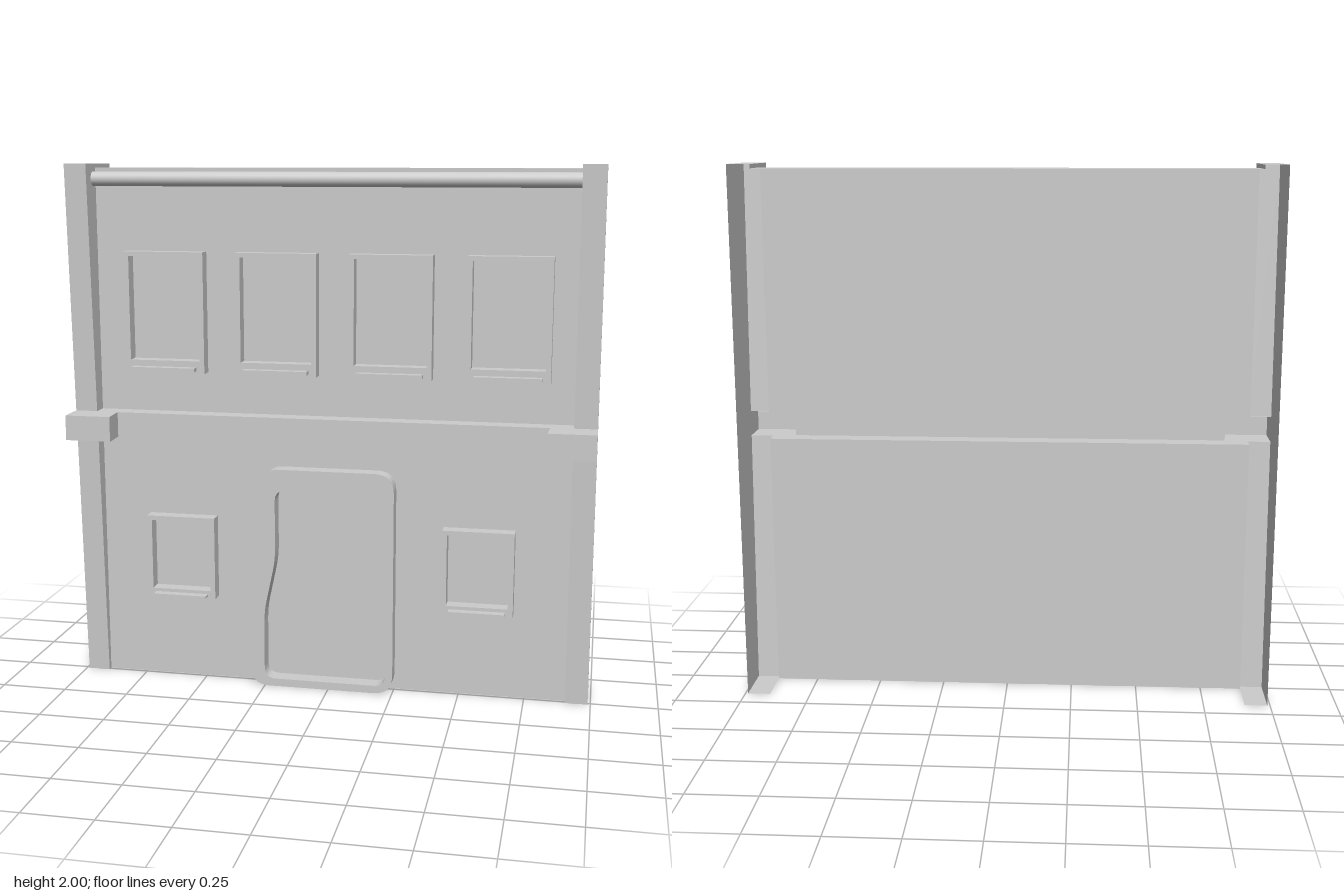
import * as THREE from 'three';

const mat = new THREE.MeshStandardMaterial({ color: 0xcccccc, side: THREE.DoubleSide });
const WALL = -0.01, BACK = -0.167, IN = 0.905, OUT = 0.99;
const BAND0 = 0.97, BAND1 = 1.065, TOP = 2, WALLTOP = 1.985;
// the pillar fronts lean outward towards the top
const lean = (y) => 0.01 + 0.04 * y;

function add(parent, name, geometry, x = 0, y = 0, z = 0) {
  const mesh = new THREE.Mesh(geometry, mat);
  mesh.name = name;
  mesh.position.set(x, y, z);
  parent.add(mesh);
  return mesh;
}

// thin sheets: each face is a convex loop of [x, y, z] corners
function sheets(faces) {
  const pos = [];
  for (const f of faces)
    for (let i = 1; i < f.length - 1; i++) pos.push(...f[0], ...f[i], ...f[i + 1]);
  const g = new THREE.BufferGeometry();
  g.setAttribute('position', new THREE.Float32BufferAttribute(pos, 3));
  g.computeVertexNormals();
  return g;
}

const rectangle = (x0, x1, y0, y1) => [[x0, y0], [x1, y0], [x1, y1], [x0, y1]];
const wallPanel = (y0, y1) =>
  sheets([rectangle(-IN, IN, y0, y1).map(([x, y]) => [x, y, WALL])]);

// hollow pillar, open at the back and interrupted by the band
function pillar(s) {
  const a = s * IN, b = s * OUT, f0 = lean(0), f1 = lean(TOP);
  const faces = [
    [[b, 0, BACK], [b, 0, f0], [b, TOP, f1], [b, TOP, BACK]],
    [[a, 0, BACK], [b, 0, BACK], [b, 0, f0], [a, 0, f0]],
    [[a, TOP, BACK], [b, TOP, BACK], [b, TOP, f1], [a, TOP, f1]],
    [[a, WALLTOP, BACK], [a, TOP, BACK], [a, TOP, f1], [a, WALLTOP, f1]],
  ];
  for (const [y0, y1] of [[0, BAND0], [BAND1, TOP]]) {
    faces.push([[a, y0, lean(y0)], [b, y0, lean(y0)], [b, y1, lean(y1)], [a, y1, lean(y1)]]);
    const yTop = Math.min(y1, WALLTOP);
    faces.push([[a, y0, WALL], [a, y0, lean(y0)], [a, yTop, lean(yTop)], [a, yTop, WALL]]);
  }
  return sheets(faces);
}

// closed outline with every corner rounded by its own radius [x, y, r]
function rounded(points, Type) {
  const path = new Type(), n = points.length;
  points.forEach(([x, y, r], i) => {
    const c = new THREE.Vector2(x, y);
    const towards = (p) => new THREE.Vector2(p[0], p[1]).sub(c).setLength(r).add(c);
    const p = towards(points[(i + n - 1) % n]), q = towards(points[(i + 1) % n]);
    if (i) path.lineTo(p.x, p.y); else path.moveTo(p.x, p.y);
    path.quadraticCurveTo(x, y, q.x, q.y);
  });
  path.closePath();
  return path;
}

// window frame around an opening, with a slim sill bar
function windowUnit(name, cx, w, y0, y1, lip, sillY, sillH) {
  const g = new THREE.Group();
  g.name = name;
  const toPoints = (list) => list.map(([x, y]) => new THREE.Vector2(x, y));
  const shape = new THREE.Shape(toPoints(rectangle(-w / 2, w / 2, y0, y1)));
  shape.holes.push(new THREE.Path(toPoints(
    rectangle(-w / 2 + 0.019, w / 2 - 0.019, y0 + lip, y1 - 0.017))));
  add(g, 'windowFrame', new THREE.ExtrudeGeometry(shape, { depth: 0.053, bevelEnabled: false }),
    0, 0, WALL + 0.002);
  add(g, 'windowSill', new THREE.BoxGeometry(w - 0.06, sillH, 0.035), 0, sillY, 0.06);
  g.position.x = cx;
  return g;
}

export function createModel() {
  const model = new THREE.Group();
  model.name = 'facade';

  // wall panels and top cap
  add(model, 'lowerWall', wallPanel(0, BAND0));
  add(model, 'upperWall', wallPanel(BAND1, WALLTOP));
  add(model, 'wallCap', sheets([[
    [-IN, WALLTOP, BACK], [-IN, WALLTOP, WALL], [IN, WALLTOP, WALL], [IN, WALLTOP, BACK]]]));

  // side pillars
  add(model, 'leftPillar', pillar(1));
  add(model, 'rightPillar', pillar(-1));

  // hollow band with a projecting block at each end
  const half = [[0.82, 0.06], [0.815, 0.165], [OUT, 0.165], [OUT, 0.045]];
  const front = [...half.map(([x, z]) => [-x, z]).reverse(), ...half];
  const plan = [...front, [IN, 0.045], [IN, WALL], [-IN, WALL], [-IN, 0.045]];
  const plate = new THREE.ShapeGeometry(
    new THREE.Shape(plan.map(([x, z]) => new THREE.Vector2(x, -z)))).rotateX(-Math.PI / 2);
  add(model, 'bandBottom', plate, 0, BAND0);
  add(model, 'bandTop', plate, 0, BAND1);
  add(model, 'bandFront', sheets(front.slice(1).map(([x, z], i) => {
    const [px, pz] = front[i];
    return [[px, BAND0, pz], [x, BAND0, z], [x, BAND1, z], [px, BAND1, pz]];
  })));

  // round rail under the top edge
  add(model, 'topRail', new THREE.CylinderGeometry(0.027, 0.027, 1.8, 24).rotateZ(Math.PI / 2),
    0.005, 1.945, 0.04);

  // windows
  for (const x of [-0.63, -0.199, 0.231, 0.663])
    model.add(windowUnit('upperWindow', x, 0.308, 1.22, 1.677, 0.048, 1.238, 0.014));
  for (const x of [-0.583, 0.568])
    model.add(windowUnit('lowerWindow', x, 0.27, 0.334, 0.658, 0.032, 0.349, 0.009));

  // asymmetric rounded door frame
  const door = rounded([
    [-0.305, 0, 0.075], [0.252, 0, 0.075], [0.252, 0.865, 0.075],
    [-0.26, 0.865, 0.075], [-0.26, 0.54, 0.05], [-0.305, 0.33, 0.05]], THREE.Shape);
  door.holes.push(rounded([
    [-0.25, 0.03, 0.045], [0.225, 0.03, 0.045], [0.225, 0.785, 0.045],
    [-0.205, 0.785, 0.045], [-0.205, 0.51, 0.05], [-0.25, 0.3, 0.05]], THREE.Path));
  add(model, 'doorFrame', new THREE.ExtrudeGeometry(door,
    { depth: 0.063, bevelEnabled: false, curveSegments: 8 }), 0, 0, WALL + 0.002);

  return model;
}
